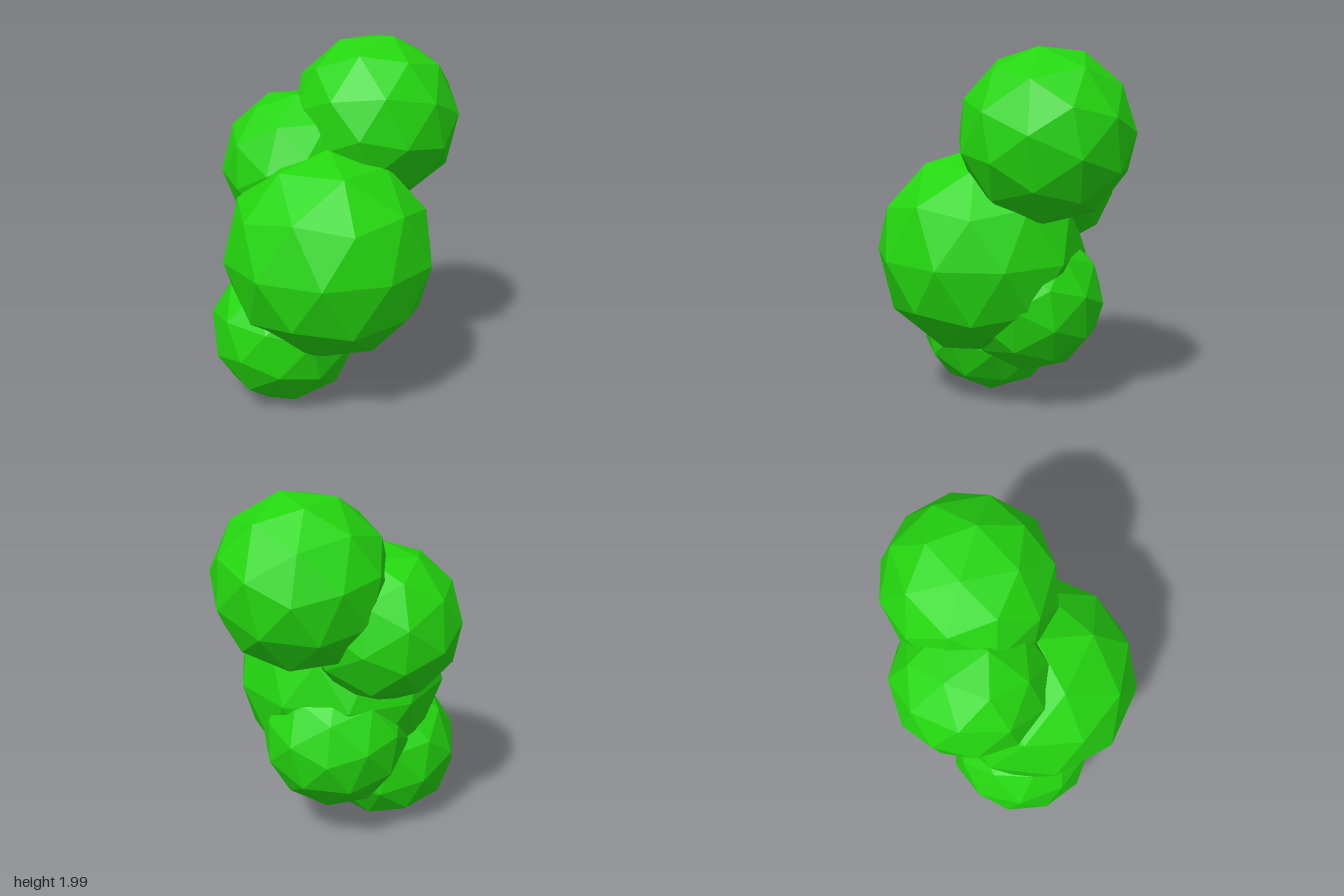
import * as THREE from 'three';

// Orthonormal basis from a pole direction and a neighbouring corner direction
function basis(pole, corner) {
  const p = new THREE.Vector3(...pole).normalize();
  const q = new THREE.Vector3(...corner);
  q.addScaledVector(p, -q.dot(p)).normalize();
  return new THREE.Matrix4().makeBasis(p, q, new THREE.Vector3().crossVectors(p, q));
}

// Two adjacent corners of the built-in icosahedron
const T = (1 + Math.sqrt(5)) / 2;
const fromStandard = basis([0, 1, T], [0, -1, T]).transpose();

export function createModel() {
  const group = new THREE.Group();
  group.name = 'leafCluster';
  const leafGreen = new THREE.MeshStandardMaterial({ color: 0x24d60f, flatShading: true });
  leafGreen.name = 'leafGreen';

  // Low-poly clumps: centre, radius, and the directions of two adjacent five-sided corners
  const clumps = [
    { name: 'mainClump', at: [-0.02, 0.872, 0.128], r: 0.582, pole: [0, 1, 0], corner: [1, 0.5, 0] },
    { name: 'topClump', at: [0.21, 1.541, -0.243], r: 0.473, pole: [-0.065, -0.025, 0.465], corner: [0.42, 0.79, 0.45] },
    { name: 'sideClump', at: [-0.21, 1.285, -0.195], r: 0.43, pole: [-0.185, -0.3, -0.935], corner: [-0.94, 0.09, -0.32] },
    { name: 'lowerClump', at: [-0.27, 0.41, 0.09], r: 0.416, pole: [-0.495, -0.135, 0.86], corner: [-0.22, -0.945, 0.25] },
    { name: 'backClump', at: [0.03, 0.62, -0.155], r: 0.407, pole: [0.9, 0.32, -0.3], corner: [0.17, -0.02, -0.98] },
  ];

  for (const { name, at, r, pole, corner } of clumps) {
    const geometry = new THREE.IcosahedronGeometry(r, 1);
    geometry.applyMatrix4(basis(pole, corner).multiply(fromStandard));
    const mesh = new THREE.Mesh(geometry, leafGreen);
    mesh.name = name;
    mesh.position.set(...at);
    group.add(mesh);
  }
  return group;
}
